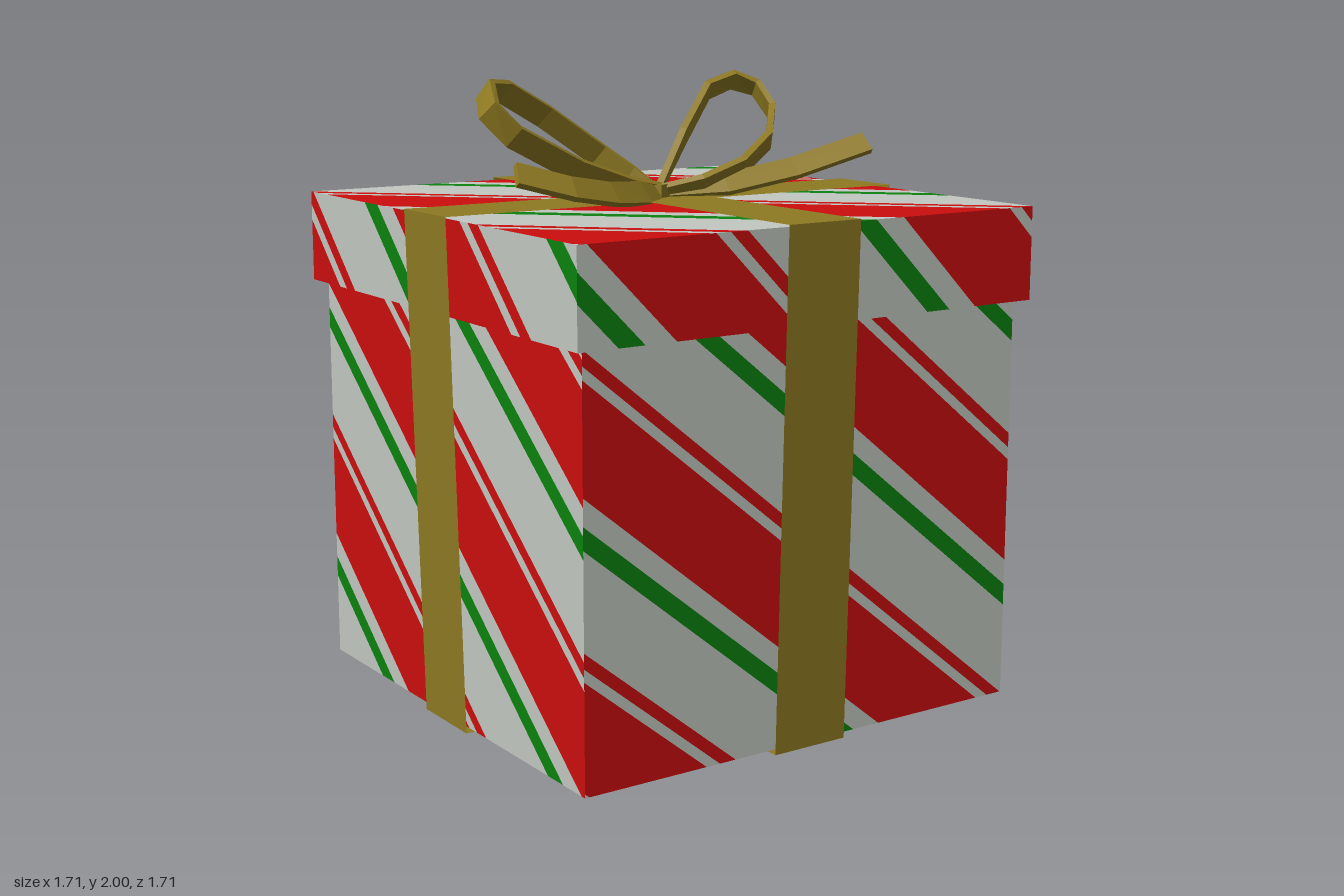
import * as THREE from 'three';

const mat = (name, color) => {
  const m = new THREE.MeshStandardMaterial({ color });
  m.name = name;
  return m;
};

export function createModel() {
  const white = mat('paper white', 0xc3c8c1);
  const red = mat('stripe red', 0xcb0d0d);
  const green = mat('stripe green', 0x0b820f);
  const gold = mat('ribbon gold', 0x8f7a22);
  gold.side = THREE.DoubleSide;
  const paper = [white, red, green];

  const model = new THREE.Group();
  model.name = 'giftBox';
  const add = (parent, geometry, material, name) => {
    const mesh = new THREE.Mesh(geometry, material);
    mesh.name = name;
    parent.add(mesh);
    return mesh;
  };
  const fromTriangles = (points) => {
    const g = new THREE.BufferGeometry().setFromPoints(points);
    g.computeVertexNormals();
    return g;
  };

  // One repeat of the wrapping paper: [start, end, paper index]
  const PERIOD = 0.667;
  const BANDS = [
    [0, 0.036, 1], [0.036, 0.066, 0], [0.066, 0.322, 1],
    [0.322, 0.385, 0], [0.385, 0.438, 2], [0.438, PERIOD, 0],
  ];

  // Keep the part of a polygon where f(point) >= 0
  const clip = (poly, f) => {
    const out = [];
    poly.forEach((p, i) => {
      const q = poly[(i + 1) % poly.length];
      const a = f(p), b = f(q);
      if (a >= 0) out.push(p);
      if ((a >= 0) !== (b >= 0)) out.push(p.clone().lerp(q, a / (a - b)));
    });
    return out;
  };

  // Flat panel facing +z, cut into diagonal stripes; tw and th set the paper scale
  const stripedPanel = (w, h, tw, th, shift) => {
    const rect = [[-1, -1], [1, -1], [1, 1], [-1, 1]]
      .map(([x, y]) => new THREE.Vector3(x * w / 2, y * h / 2, 0));
    const level = (p) => (h / 2 - p.y) / th - (p.x + w / 2) / tw - shift;
    const buckets = [[], [], []];
    for (let k = -3; k <= 3; k++) {
      for (const [lo, hi, colour] of BANDS) {
        let poly = clip(rect, (p) => level(p) - lo - k * PERIOD);
        poly = clip(poly, (p) => hi + k * PERIOD - level(p));
        for (let i = 1; i + 1 < poly.length; i++) buckets[colour].push(poly[0], poly[i], poly[i + 1]);
      }
    }
    const g = fromTriangles(buckets.flat());
    let start = 0;
    buckets.forEach((b, i) => {
      g.addGroup(start, b.length, i);
      start += b.length;
    });
    return g;
  };

  // Four striped walls around a square box
  const walls = (parent, size, y0, y1, textureHeight, shifts, name) => {
    const h = y1 - y0;
    ['Front', 'Left', 'Back', 'Right'].forEach((side, i) => {
      const g = stripedPanel(size, h, size, textureHeight, shifts[i % 2]);
      g.translate(0, (y0 + y1) / 2, size / 2).rotateY(i * Math.PI / 2);
      add(parent, g, paper, name + side);
    });
  };

  // Box body with its striped underside
  const body = new THREE.Group();
  body.name = 'body';
  walls(body, 1.6, 0.012, 1.31, 1.3, [0, 0.355], 'bodyWall');
  add(body, stripedPanel(1.6, 1.6, 1.6, 1.6, 0.355).rotateX(Math.PI / 2).translate(0, 0.012, 0), paper, 'bodyBottom');
  model.add(body);

  // Lid with striped top and plain overhang
  const lid = new THREE.Group();
  lid.name = 'lid';
  const L = 1.672;
  walls(lid, L, 1.308, 1.603, L, [0.326, -0.01], 'lidWall');
  add(lid, stripedPanel(L, L, L, L, 0).rotateX(-Math.PI / 2).translate(0, 1.603, 0), paper, 'lidTop');
  add(lid, new THREE.PlaneGeometry(L, L).rotateX(Math.PI / 2).translate(0, 1.308, 0), red, 'lidUnderside');
  model.add(lid);

  // Two flat ribbons wrapped around the box, leaning in towards the base
  const wrapProfile = [[-0.853, 1.611], [-0.815, 0], [0.815, 0], [0.853, 1.611]];
  const wrap = (angle, name) => {
    const tris = [];
    wrapProfile.forEach(([x, y], i) => {
      const [u, v] = wrapProfile[(i + 1) % 4];
      const a = new THREE.Vector3(x, y, 0.132), b = new THREE.Vector3(x, y, -0.132);
      const c = new THREE.Vector3(u, v, -0.132), d = new THREE.Vector3(u, v, 0.132);
      tris.push(a, b, c, a, c, d);
    });
    add(model, fromTriangles(tris).rotateY(angle), gold, name);
  };
  wrap(0, 'ribbonAcross');
  wrap(Math.PI / 2, 'ribbonFrontToBack');

  // Rectangular ribbon swept along points, its width held in one direction
  const sweep = (coords, widthDir, width, thickness) => {
    const pts = coords.map((c) => new THREE.Vector3(...c));
    const rings = pts.map((p, i) => {
      const t = pts[Math.min(i + 1, pts.length - 1)].clone().sub(pts[Math.max(i - 1, 0)]).normalize();
      const w = new THREE.Vector3(...widthDir);
      w.addScaledVector(t, -w.dot(t)).normalize();
      const n = t.clone().cross(w);
      const taper = i === 0 ? 0.5 : 1;
      return [[1, 1], [-1, 1], [-1, -1], [1, -1]].map(([a, b]) =>
        p.clone().addScaledVector(w, a * taper * width / 2).addScaledVector(n, b * thickness / 2));
    });
    const tris = [];
    const quad = (a, b, c, d) => tris.push(a, b, c, a, c, d);
    for (let i = 0; i + 1 < rings.length; i++) {
      for (let j = 0; j < 4; j++) {
        const k = (j + 1) % 4;
        quad(rings[i][j], rings[i][k], rings[i + 1][k], rings[i + 1][j]);
      }
    }
    quad(...[...rings[0]].reverse());
    quad(...rings[rings.length - 1]);
    return fromTriangles(tris);
  };

  // Bow: two loops, two tails and a small knot
  const bow = new THREE.Group();
  bow.name = 'bow';
  add(bow, sweep([
    [-0.01, 1.63, -0.02], [-0.06, 1.67, -0.09], [-0.14, 1.74, -0.15], [-0.33, 1.87, -0.17], [-0.5, 1.955, -0.13],
    [-0.62, 1.965, -0.03], [-0.665, 1.91, 0.07], [-0.6, 1.835, 0.1], [-0.36, 1.72, 0.065],
    [-0.15, 1.65, 0.03], [-0.01, 1.62, 0],
  ], [-0.36, -0.77, -0.46], 0.075, 0.022), gold, 'bowLoopRight');
  add(bow, sweep([
    [0, 1.63, -0.01], [0.17, 1.79, -0.115], [0.33, 1.93, -0.205], [0.44, 1.962, -0.215], [0.515, 1.935, -0.18],
    [0.515, 1.86, -0.09], [0.42, 1.775, 0.02], [0.27, 1.7, 0.08], [0.12, 1.65, 0.07], [0, 1.62, 0.01],
  ], [0.36, -0.75, -0.55], 0.07, 0.022), gold, 'bowLoopLeft');
  add(bow, sweep([
    [0, 1.62, 0], [0.2, 1.645, 0.085], [0.43, 1.69, 0.145], [0.69, 1.765, 0.2],
  ], [0, 0.7, -0.7], 0.075, 0.022), gold, 'bowTailLeft');
  add(bow, sweep([
    [0, 1.62, 0.01], [-0.13, 1.635, 0.1], [-0.3, 1.65, 0.185], [-0.47, 1.68, 0.225], [-0.65, 1.73, 0.2],
  ], [0, 0.75, -0.65], 0.08, 0.022), gold, 'bowTailRight');
  add(bow, new THREE.BoxGeometry(0.07, 0.045, 0.07).rotateY(0.5).translate(-0.02, 1.63, 0.01), gold, 'bowKnot');
  model.add(bow);

  return model;
}
